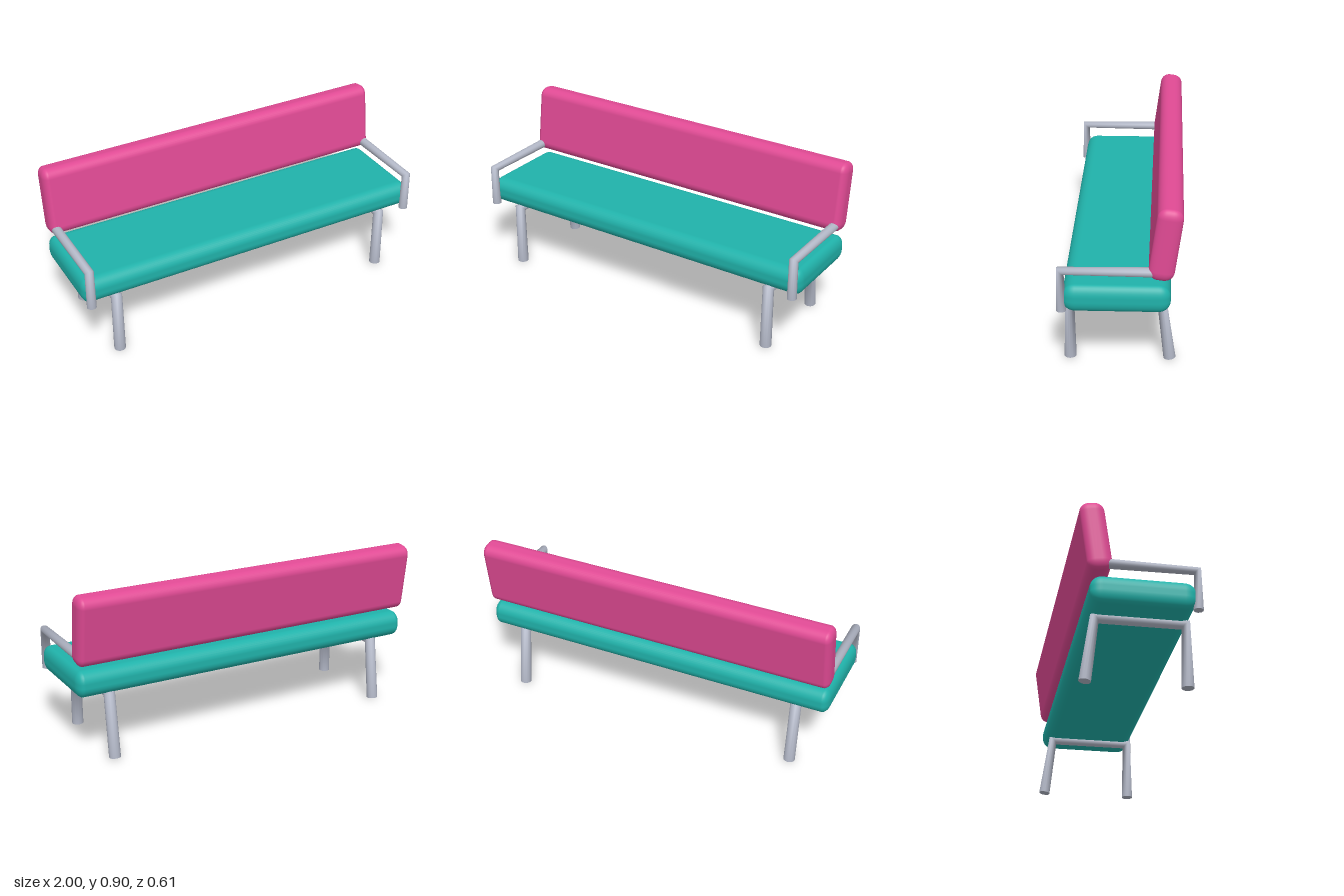
import * as THREE from 'three';
import { RoundedBoxGeometry } from 'three/addons/geometries/RoundedBoxGeometry.js';
import { mergeGeometries } from 'three/addons/utils/BufferGeometryUtils.js';

const SIDES = 14;

// Round tube along a bent [z, y] path, with one unscaled ring at each bend and capped ends
function bentTube(path, radius) {
  const pts = path.map(([z, y]) => new THREE.Vector2(z, y));
  const last = pts.length - 1;
  const rings = pts.map((p, i) => {
    const t = new THREE.Vector2();
    if (i > 0) t.add(p.clone().sub(pts[i - 1]).normalize());
    if (i < last) t.add(pts[i + 1].clone().sub(p).normalize());
    t.normalize();
    const ring = [];
    for (let s = 0; s < SIDES; s++) {
      const a = (s / SIDES) * Math.PI * 2;
      const n = Math.sin(a) * radius;
      ring.push([Math.cos(a) * radius, p.y + t.x * n, p.x - t.y * n]);
    }
    return ring;
  });
  const make = (verts, index) => {
    const g = new THREE.BufferGeometry();
    g.setAttribute('position', new THREE.Float32BufferAttribute(verts.flat(), 3));
    g.setIndex(index);
    g.computeVertexNormals();
    return g;
  };
  const wall = [], startCap = [], endCap = [];
  for (let s = 0; s < SIDES; s++) {
    const n = (s + 1) % SIDES;
    for (let i = 0; i < last; i++) {
      const a = i * SIDES + s, b = i * SIDES + n;
      wall.push(a, b, b + SIDES, a, b + SIDES, a + SIDES);
    }
    if (s > 0 && s < SIDES - 1) {
      startCap.push(0, s + 1, s);
      endCap.push(0, s, s + 1);
    }
  }
  return mergeGeometries([make(rings.flat(), wall), make(rings[0], startCap), make(rings[last], endCap)]);
}

// Cushion whose rounding is tighter at its two ends
function cushion(width, height, depth, radius) {
  const squash = 0.65;
  return new RoundedBoxGeometry(width / squash, height, depth, 4, radius).scale(squash, 1, 1);
}

export function createModel() {
  const bench = new THREE.Group();
  bench.name = 'bench';
  const teal = new THREE.MeshStandardMaterial({ color: 0x20b2aa });
  teal.name = 'teal upholstery';
  const pink = new THREE.MeshStandardMaterial({ color: 0xe04a94 });
  pink.name = 'pink upholstery';
  const metal = new THREE.MeshStandardMaterial({ color: 0xb0b5c4, side: THREE.DoubleSide });
  metal.name = 'grey metal';

  const add = (name, geometry, material, x, y, z) => {
    const mesh = new THREE.Mesh(geometry, material);
    mesh.name = name;
    mesh.position.set(x, y, z);
    bench.add(mesh);
    return mesh;
  };

  // Upholstery
  add('seat', cushion(2, 0.143, 0.525, 0.06), teal, 0, 0.425, 0.0125);
  const back = add('backrest', cushion(2, 0.377, 0.126, 0.05), pink, 0, 0.717, -0.223);
  back.rotation.x = -0.136;

  // Each leg frame joins a front leg, a rail under the seat and a splayed rear leg
  const legs = bentTube([[0.253, 0.007], [0.251, 0.348], [-0.204, 0.348], [-0.249, 0.007]], 0.031);
  // Each armrest rises from the seat's front corner and runs into the backrest
  const arm = bentTube([[0.281, 0.354], [0.282, 0.57], [-0.185, 0.57]], 0.025);
  for (const [side, label] of [[1, 'left'], [-1, 'right']]) {
    add(label + 'LegFrame', legs, metal, side * 0.817, 0, 0);
    add(label + 'Armrest', arm, metal, side * 0.967, 0, 0);
  }
  return bench;
}
